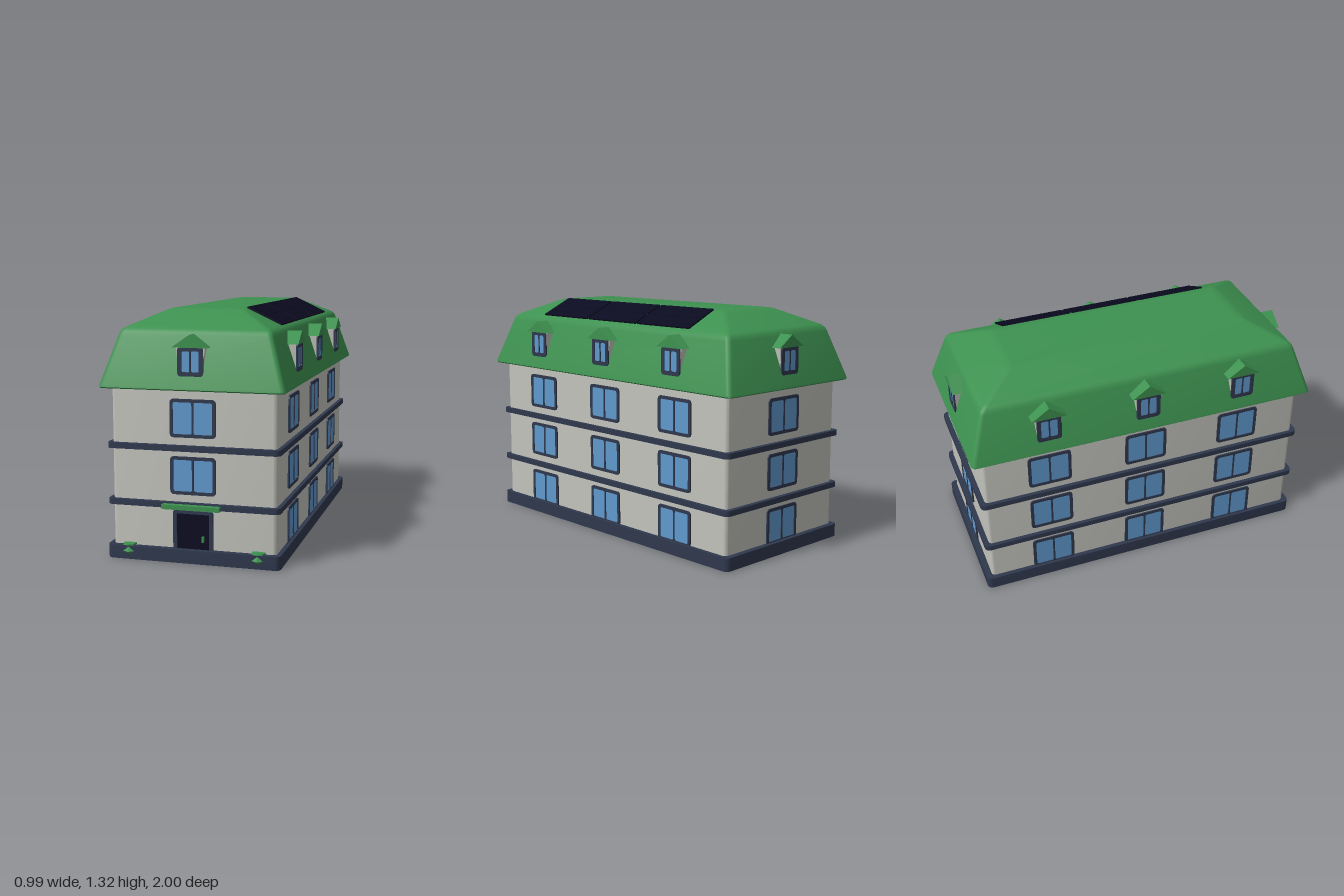
import * as THREE from 'three';
import { toCreasedNormals } from 'three/addons/utils/BufferGeometryUtils.js';

const mat = (name, color, side = THREE.FrontSide) => {
  const m = new THREE.MeshStandardMaterial({ color, side });
  m.name = name;
  return m;
};

// Rounded rectangle outline, centred on (cx, cy)
function roundRect(w, h, r, cx = 0, cy = 0, Type = THREE.Shape) {
  const s = new Type(), x = w / 2 - r, y = h / 2 - r;
  s.absarc(cx + x, cy + y, r, 0, Math.PI / 2);
  s.absarc(cx - x, cy + y, r, Math.PI / 2, Math.PI);
  s.absarc(cx - x, cy - y, r, Math.PI, Math.PI * 1.5);
  s.absarc(cx + x, cy - y, r, Math.PI * 1.5, Math.PI * 2);
  s.closePath();
  return s;
}

const extrude = (shape, depth) =>
  new THREE.ExtrudeGeometry(shape, { depth, bevelEnabled: false, curveSegments: 4 });

// Closed solid through stacked rounded rectangles: rings of [halfX, halfZ, radius, y]
function loft(rings, crease = 0.5) {
  const seg = 4, n = 4 * (seg + 1), pos = [], idx = [];
  for (const [hx, hz, r, y] of rings) {
    for (let c = 0; c < 4; c++) {
      const sx = c === 0 || c === 3 ? 1 : -1, sz = c < 2 ? 1 : -1;
      for (let i = 0; i <= seg; i++) {
        const a = (c + i / seg) * Math.PI / 2;
        pos.push(sx * (hx - r) + r * Math.cos(a), y, sz * (hz - r) + r * Math.sin(a));
      }
    }
  }
  for (let k = 0; k < rings.length - 1; k++) {
    for (let i = 0; i < n; i++) {
      const a = k * n + i, b = k * n + (i + 1) % n;
      idx.push(a, a + n, b, b, a + n, b + n);
    }
  }
  const top = (rings.length - 1) * n;
  for (let i = 1; i < n - 1; i++) idx.push(0, i, i + 1, top, top + i + 1, top + i);
  const g = new THREE.BufferGeometry();
  g.setAttribute('position', new THREE.Float32BufferAttribute(pos, 3));
  g.setIndex(idx);
  return toCreasedNormals(g, crease);
}

export function createModel() {
  const model = new THREE.Group();
  model.name = 'townHouse';
  const stone = mat('stone', 0xc3c3bd);
  const green = mat('green', 0x3d9150);
  const navy = mat('navy', 0x2f384d);
  const glass = mat('glass', 0x609ace);
  const dark = mat('dark', 0x0a0a20);

  const add = (parent, name, geo, material, x = 0, y = 0, z = 0) => {
    const m = new THREE.Mesh(geo, material);
    m.name = name;
    m.position.set(x, y, z);
    parent.add(m);
    return m;
  };
  const slab = (name, hx, hz, r, y0, y1, material) =>
    add(model, name, loft([[hx, hz, r, y0], [hx, hz, r, y1]]), material);

  // Body, plinth and floor bands
  slab('walls', 0.443, 0.939, 0.02, 0.01, 0.915, stone);
  slab('plinth', 0.468, 0.972, 0.03, 0, 0.072, navy);
  for (const y of [0.305, 0.605]) slab('floorBand', 0.465, 0.966, 0.03, y - 0.015, y + 0.015, navy);

  // Mansard roof with softened edges
  add(model, 'roof', loft([
    [0.488, 0.993, 0.02, 0.908], [0.495, 1.0, 0.025, 0.914], [0.493, 0.997, 0.025, 0.925],
    [0.413, 0.915, 0.025, 1.18], [0.407, 0.907, 0.025, 1.197], [0.395, 0.894, 0.025, 1.212],
    [0.378, 0.876, 0.025, 1.222], [0.222, 0.712, 0.025, 1.298],
    [0.2, 0.69, 0.025, 1.307], [0.17, 0.66, 0.025, 1.311],
  ]), green);

  // Solar panels: three pairs lying on the +x upper slope
  const solar = new THREE.Group();
  solar.name = 'solarPanels';
  solar.position.set(0.295, 1.267, 0);
  solar.rotation.z = Math.atan2(-0.09, 0.19);
  model.add(solar);
  const half = Math.hypot(0.09, 0.19) / 2;
  for (const z of [-0.414, 0, 0.414]) {
    for (const s of [-1, 1]) {
      add(solar, 'solarPanel', new THREE.BoxGeometry(half - 0.003, 0.008, 0.4), dark, s * half / 2, 0.002, z);
    }
  }

  // Puts a part on a wall: side 0 front, 1 left, 2 back, 3 right; u runs along the wall
  const onWall = (part, side, u, y, offX, offZ) => {
    const g = new THREE.Group();
    g.name = part.name + 'Mount';
    const d = side % 2 ? offX : offZ;
    part.position.set(u, y, d);
    g.rotation.y = side * Math.PI / 2;
    g.add(part);
    model.add(g);
  };

  // Frame with two panes
  const makeWindow = (w, h, border, gap, r) => {
    const g = new THREE.Group();
    g.name = 'window';
    const frame = roundRect(w, h, r);
    const pw = w / 2 - border - gap / 2, ph = h - 2 * border;
    for (const s of [-1, 1]) {
      const cx = s * (gap + pw) / 2;
      frame.holes.push(roundRect(pw, ph, r * 0.5, cx, 0, THREE.Path));
    }
    add(g, 'windowFrame', extrude(frame, 0.009), navy);
    add(g, 'windowGlass', new THREE.BoxGeometry(w - border, h - border, 0.004), glass, 0, 0, 0.003);
    return g;
  };

  for (let side = 0; side < 4; side++) {
    for (const u of side % 2 ? [-0.565, 0, 0.565] : [0]) {
      for (const y of [0.16, 0.46, 0.76]) {
        if (side === 0 && y < 0.2) continue;
        onWall(makeWindow(0.246, 0.2, 0.017, 0.01, 0.02), side, u, y, 0.442, 0.938);
      }
      onWall(makeDormer(), side, u, 1.0, 0.473, 0.973);
    }
  }

  // Dormer: tapered body, window and gabled roof, front face at z = 0
  function makeDormer() {
    const g = new THREE.Group();
    g.name = 'dormer';
    const body = new THREE.Shape([[-0.064, 0], [0.064, 0], [0.076, 0.13], [-0.076, 0.13]]
      .map(p => new THREE.Vector2(...p)));
    add(g, 'dormerBody', extrude(body, 0.075), stone, 0, 0, -0.077);
    const win = makeWindow(0.136, 0.15, 0.022, 0.008, 0.018);
    win.position.set(0, 0.055, -0.003);
    g.add(win);
    const gable = new THREE.Shape([[-0.097, 0], [0.097, 0], [0, 0.066]]
      .map(p => new THREE.Vector2(...p)));
    add(g, 'dormerRoof', extrude(gable, 0.105), green, 0, 0.126, -0.09);
    return g;
  }

  // Front door with frame, handle and canopy
  const frame = roundRect(0.216, 0.24, 0.018, 0, 0.16);
  frame.holes.push(roundRect(0.176, 0.22, 0.003, 0, 0.15, THREE.Path));
  add(model, 'doorFrame', extrude(frame, 0.014), navy, 0, 0, 0.938);
  add(model, 'door', new THREE.BoxGeometry(0.18, 0.2, 0.008), dark, 0, 0.162, 0.941);
  add(model, 'doorHandle', new THREE.BoxGeometry(0.011, 0.03, 0.02), green, 0.055, 0.13, 0.953);
  add(model, 'doorCanopy', new THREE.BoxGeometry(0.31, 0.024, 0.07), green, 0, 0.302, 0.964);

  // Planters beside the entrance
  const profile = [[0, 0.003], [0.037, 0.042], [0.02, 0.07], [0.038, 0.076], [0.036, 0.083], [0, 0.085]]
    .map(p => new THREE.Vector2(...p));
  for (const s of [-1, 1]) {
    const geo = toCreasedNormals(new THREE.LatheGeometry(profile, 7), 0.1);
    add(model, 'planter', geo, green, s * 0.35, 0, 0.95);
  }
  return model;
}
